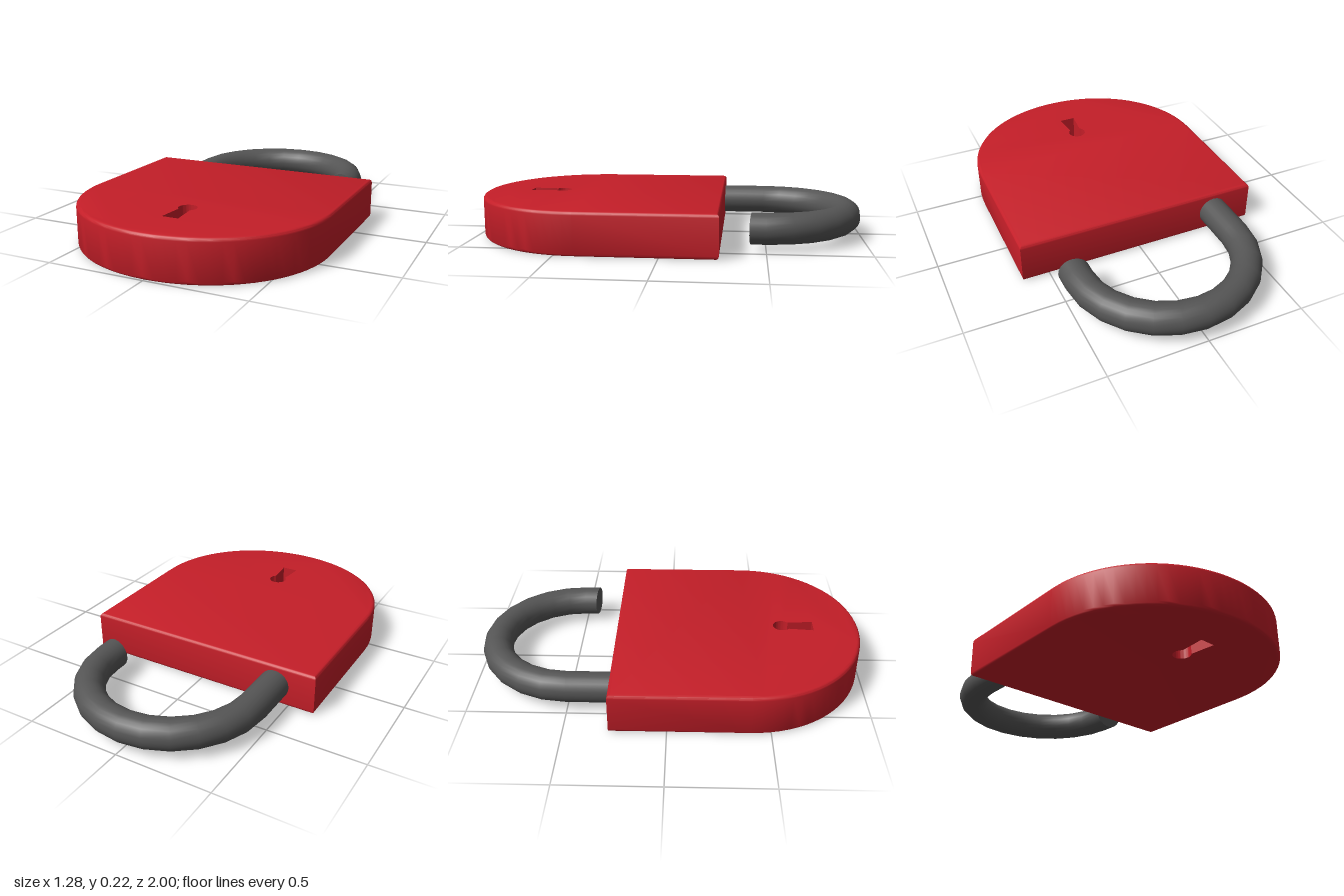
import * as THREE from 'three';
import { mergeGeometries, toCreasedNormals } from 'three/addons/utils/BufferGeometryUtils.js';

const H = 0.215, BEVEL = 0.018;       // body thickness and edge rounding
const LEG_X = 0.425, BAR = 0.077;     // shackle radius and bar radius
const ARC_Z = -0.498, MID_Y = 0.108;

// Outline seen from above: square at the back, round at the front (shape y = model z)
function bodyOutline() {
  const w = 0.64 - BEVEL, back = -0.28 + BEVEL, front = 1 - BEVEL, side = 0.4;
  const s = new THREE.Shape();
  s.moveTo(-w, back);
  s.lineTo(w, back);
  s.lineTo(w, side);
  s.bezierCurveTo(w, 0.73, 0.35, front, 0, front);
  s.bezierCurveTo(-0.35, front, -w, 0.73, -w, side);
  s.closePath();
  return s;
}

function keyholeOutline() {
  const a = 0.86, s = new THREE.Shape();
  s.moveTo(-0.042, 0.76);
  s.lineTo(0.042, 0.76);
  s.lineTo(0.03, 0.63);
  s.absarc(0, 0.595, 0.046, a, Math.PI - a, true);
  s.closePath();
  return s;
}

// Only the side walls of an extrusion, laid flat
function walls(shape, options) {
  const geo = new THREE.ExtrudeGeometry(shape, { curveSegments: 20, ...options });
  const { start, count } = geo.groups.find(g => g.materialIndex === 1);
  const pos = geo.attributes.position.array.slice(start * 3, (start + count) * 3);
  const out = new THREE.BufferGeometry();
  out.setAttribute('position', new THREE.BufferAttribute(pos, 3));
  return out.rotateX(Math.PI / 2);
}

function bodyGeometry() {
  // rounded rim
  const rim = walls(bodyOutline(), {
    depth: H - 2 * BEVEL, bevelThickness: BEVEL, bevelSize: BEVEL, bevelSegments: 4,
  }).translate(0, H - BEVEL, 0);

  // inward-facing keyhole walls: the mirror turns the faces around
  const hole = walls(keyholeOutline(), { depth: H, bevelEnabled: false })
    .translate(0, H, 0).scale(-1, 1, 1);

  // flat faces pierced by the keyhole
  const face = bodyOutline();
  face.holes.push(keyholeOutline());
  const bottom = new THREE.ShapeGeometry(face, 20).toNonIndexed().rotateX(Math.PI / 2);
  const top = bottom.clone().rotateZ(Math.PI).translate(0, H, 0);

  const parts = [rim, hole, bottom, top].map(g => {
    g.deleteAttribute('uv');
    g.deleteAttribute('normal');
    return g;
  });
  return toCreasedNormals(mergeGeometries(parts), 0.6);
}

// Straight bar along z at a given x
function leg(x, z0, z1) {
  return new THREE.CylinderGeometry(BAR, BAR, z1 - z0, 24)
    .rotateX(Math.PI / 2)
    .translate(x, MID_Y, (z0 + z1) / 2);
}

export function createModel() {
  const model = new THREE.Group();
  model.name = 'openPadlock';
  const red = new THREE.MeshStandardMaterial({ color: 0xc41e28 });
  const grey = new THREE.MeshStandardMaterial({ color: 0x555555 });

  const add = (parent, name, geometry, material) => {
    const mesh = new THREE.Mesh(geometry, material);
    mesh.name = name;
    parent.add(mesh);
  };

  add(model, 'body', bodyGeometry(), red);

  const shackle = new THREE.Group();
  shackle.name = 'shackle';
  model.add(shackle);

  // half-ring bow
  const bow = new THREE.TorusGeometry(LEG_X, BAR, 24, 12, Math.PI)
    .rotateX(-Math.PI / 2).translate(0, MID_Y, ARC_Z);
  add(shackle, 'shackleBow', bow, grey);

  // long leg held by the body
  add(shackle, 'fixedLeg', leg(-LEG_X, ARC_Z, -0.26), grey);

  // short free leg with a slanted end
  const free = leg(LEG_X, ARC_Z, -0.427);
  const p = free.attributes.position;
  for (let i = 0; i < p.count; i++) {
    if (p.getZ(i) > -0.45) p.setZ(i, p.getZ(i) + (p.getX(i) - LEG_X) * 0.13);
  }
  add(shackle, 'freeLeg', free, grey);

  return model;
}
